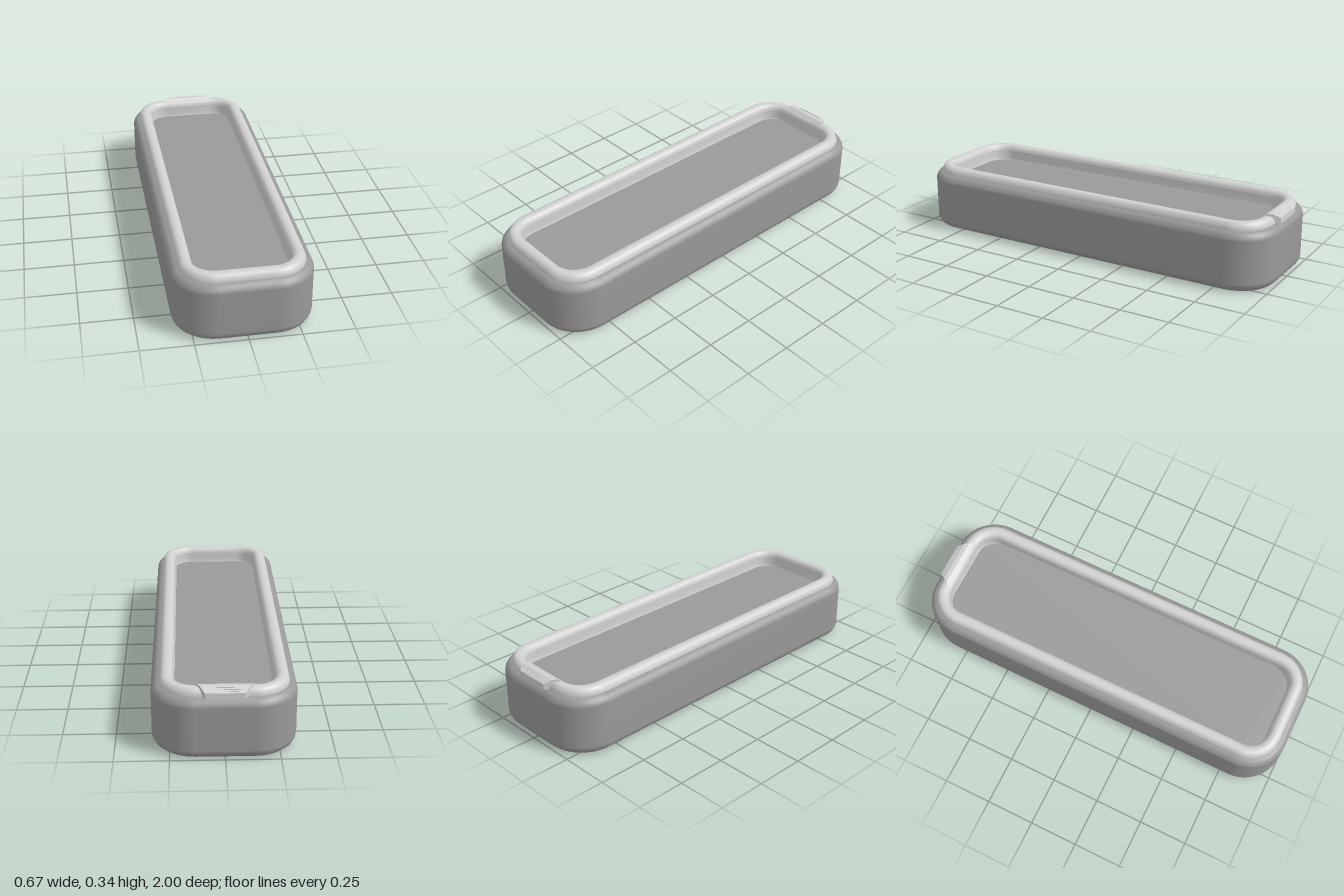
import * as THREE from 'three';

const HALF_X = 0.333, HALF_Z = 1, RADIUS = 0.2, STEPS = 10;

// Rounded-rectangle outline, shrunk by inset, as [x, z] pairs
function outline(inset) {
  const r = Math.max(RADIUS - inset, 0.02);
  const cx = HALF_X - inset - r, cz = HALF_Z - inset - r;
  const signs = [[1, -1], [-1, -1], [-1, 1], [1, 1]];
  const pts = [];
  signs.forEach(([sx, sz], q) => {
    for (let i = 0; i <= STEPS; i++) {
      const a = (q + i / STEPS) * Math.PI / 2;
      pts.push([sx * cx + r * Math.cos(a), sz * cz - r * Math.sin(a)]);
    }
  });
  return pts;
}

// Sweep a profile of [inset, y] points around the outline
function loft(profile) {
  const pos = [], index = [], n = 4 * (STEPS + 1);
  profile.forEach(([inset, y]) => outline(inset).forEach(([x, z]) => pos.push(x, y, z)));
  for (let j = 0; j < profile.length - 1; j++) {
    for (let i = 0; i < n; i++) {
      const a = j * n + i, b = j * n + (i + 1) % n;
      index.push(a, b, b + n, a, b + n, a + n);
    }
  }
  const g = new THREE.BufferGeometry();
  g.setAttribute('position', new THREE.Float32BufferAttribute(pos, 3));
  g.setIndex(index);
  g.computeVertexNormals();
  return g;
}

// Flat panel filling the outline, facing up or down
function panel(inset, y, up) {
  const shape = new THREE.Shape(outline(inset).map(([x, z]) => new THREE.Vector2(x, -z)));
  const g = new THREE.ShapeGeometry(shape);
  g.rotateX(up ? -Math.PI / 2 : Math.PI / 2);
  return g.translate(0, y, 0);
}

export function createModel() {
  const model = new THREE.Group();
  model.name = 'tray';
  const grey = new THREE.MeshStandardMaterial({ color: 0x999999 });
  grey.name = 'mid grey';
  const light = new THREE.MeshStandardMaterial({ color: 0xd0d0d0 });
  light.name = 'light grey';

  const add = (name, geometry, material) => {
    const mesh = new THREE.Mesh(geometry, material);
    mesh.name = name;
    model.add(mesh);
    return mesh;
  };

  // Body shell with rounded edges and a rounded foot around the underside
  add('body', loft([
    [0.105, 0.025], [0.1, 0.014], [0.085, 0.004], [0.065, 0], [0.042, 0], [0.025, 0.004], [0.011, 0.016],
    [0.003, 0.03], [0, 0.045], [0, 0.258], [0.003, 0.27], [0.011, 0.283],
    [0.022, 0.293], [0.036, 0.297], [0.06, 0.298],
  ]), grey);
  add('underside', panel(0.105, 0.025, false), grey);

  // Raised rim and the inner wall that drops to the floor
  add('rim', loft([
    [0.036, 0.296], [0.036, 0.305], [0.04, 0.316], [0.047, 0.328], [0.058, 0.334], [0.07, 0.335],
    [0.082, 0.334], [0.093, 0.328], [0.1, 0.318], [0.103, 0.305],
  ]), light);
  add('innerWall', loft([[0.103, 0.305], [0.104, 0.262], [0.108, 0.25]]), light);
  add('floor', panel(0.108, 0.25, true), grey);

  // Tapered latch over the back of the rim: side section shaped, then narrowed to the rear
  const section = new THREE.Shape([
    [0.91, 0.3], [0.915, 0.333], [0.93, 0.345], [0.952, 0.345], [0.986, 0.326], [0.988, 0.298],
  ].map(([d, y]) => new THREE.Vector2(d, y)));
  const latch = new THREE.ExtrudeGeometry(section, { depth: 2, bevelEnabled: false });
  latch.translate(0, 0, -1).rotateY(Math.PI / 2);
  const p = latch.attributes.position;
  for (let i = 0; i < p.count; i++) {
    const back = (-p.getZ(i) - 0.91) / 0.078;
    p.setX(i, p.getX(i) * (0.138 - 0.05 * back));
  }
  latch.computeVertexNormals();
  add('latch', latch, light);

  // Grip ridges on the sloping top of the latch
  const slope = Math.atan2(0.019, 0.034);
  for (let i = 0; i < 3; i++) {
    const t = 0.2 + i * 0.28;
    const ridge = add('gripRidge', new THREE.BoxGeometry(0.145 - i * 0.012, 0.004, 0.005), light);
    ridge.position.set(0, 0.345 - 0.019 * t, -0.952 - 0.034 * t);
    ridge.rotation.x = -slope;
  }
  return model;
}
